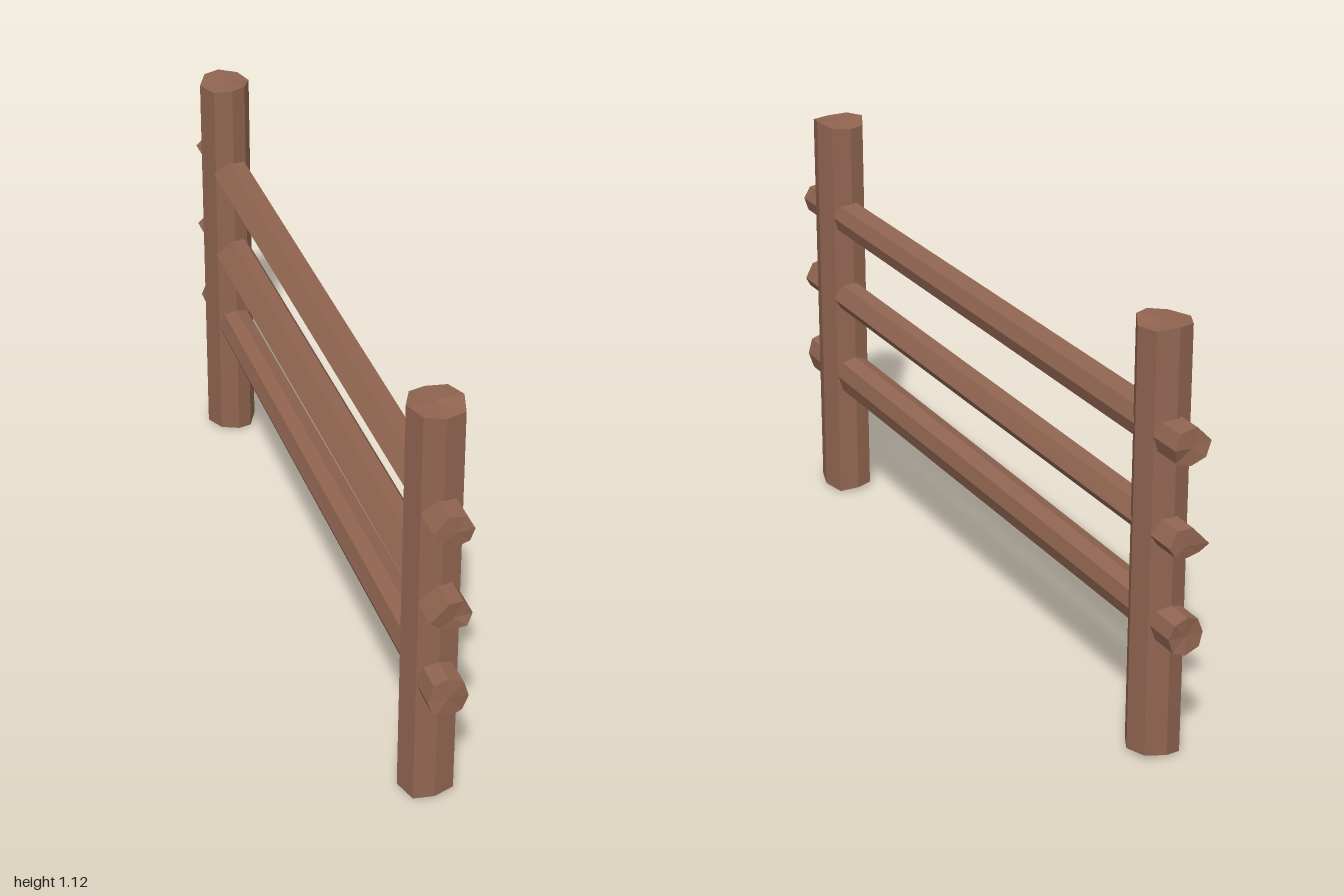
import * as THREE from 'three';

// Lofts a rough-hewn timber along z between two outlines of [x, y] points (counter-clockwise seen from +z).
// Each corner's end is shifted slightly along z so the cuts look uneven.
function timber(start, end, z0, z1, seed, rough) {
  const wobble = (i) => rough * Math.abs(Math.sin(i * 2.4 + seed));
  const n = start.length;
  const a = start.map(([x, y], i) => [x, y, z0 + wobble(i)]);
  const b = end.map(([x, y], i) => [x, y, z1 - wobble(i + 5)]);
  const centre = (ring) => [0, 1, 2].map((k) => ring.reduce((s, p) => s + p[k], 0) / n);
  const ca = centre(a), cb = centre(b);
  const pos = [];
  for (let i = 0; i < n; i++) {
    const j = (i + 1) % n;
    pos.push(...a[i], ...a[j], ...b[j], ...a[i], ...b[j], ...b[i]); // side
    pos.push(...ca, ...a[j], ...a[i], ...cb, ...b[i], ...b[j]); // end cuts
  }
  const geo = new THREE.BufferGeometry();
  geo.setAttribute('position', new THREE.Float32BufferAttribute(pos, 3));
  geo.computeVertexNormals();
  return geo;
}

export function createModel() {
  const group = new THREE.Group();
  const wood = new THREE.MeshStandardMaterial({ color: 0x916551, flatShading: true });
  const add = (name, geo) => {
    const mesh = new THREE.Mesh(geo, wood);
    mesh.name = name;
    group.add(mesh);
    return mesh;
  };

  // Upright posts: eight-sided outlines, with y standing for -z before being stood up
  const posts = [
    ['frontPost', 0.853, [[0.067, 0], [0.05, 0.06], [0, 0.075], [-0.043, 0.062], [-0.072, 0], [-0.05, -0.055], [0, -0.07], [0.052, -0.055]]],
    ['backPost', -0.853, [[0.067, 0], [0.05, 0.054], [0, 0.072], [-0.043, 0.06], [-0.071, 0.005], [-0.047, -0.052], [0, -0.07], [0.04, -0.052]]],
  ];
  posts.forEach(([name, z, outline], i) => {
    const base = outline.map(([x, y]) => [x * 1.02, y * 1.01]);
    const geo = timber(base, outline, 0, 1.12, i * 1.7 + 0.6, 0.012);
    geo.rotateX(-Math.PI / 2);
    add(name, geo).position.z = z;
  });

  // Horizontal rails: front outline, then size factor and height shift at the back end
  const rails = [
    ['topRail', 1.06, 0.003, [[0.05, 0.85], [0.033, 0.883], [-0.013, 0.89], [-0.05, 0.853], [-0.032, 0.82], [0.004, 0.804], [0.04, 0.815]]],
    ['middleRail', 0.94, -0.003, [[0.054, 0.607], [0.03, 0.648], [-0.008, 0.652], [-0.052, 0.602], [-0.03, 0.58], [0.002, 0.57], [0.038, 0.58]]],
    ['bottomRail', 0.86, -0.002, [[0.05, 0.368], [0.037, 0.41], [0, 0.425], [-0.036, 0.41], [-0.052, 0.367], [-0.038, 0.328], [0.005, 0.312], [0.037, 0.324]]],
  ];
  rails.forEach(([name, scale, shift, outline], i) => {
    const mid = outline.reduce((s, p) => s + p[1], 0) / outline.length;
    const back = outline.map(([x, y]) => [x * (0.5 + scale / 2), mid + (y - mid) * scale + shift]);
    add(name, timber(back, outline, -1, 1, i * 2.1, 0.012));
  });
  return group;
}
